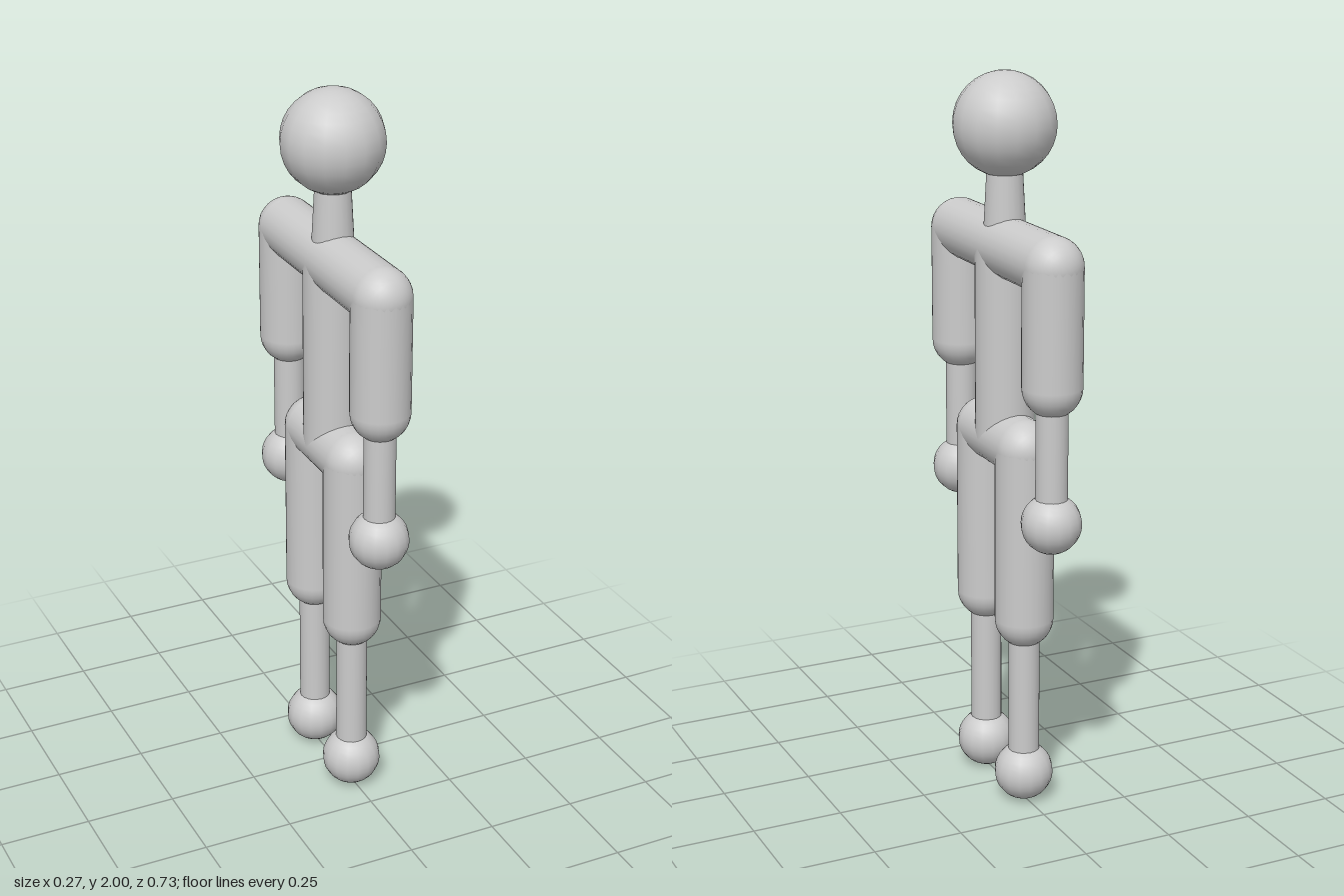
import * as THREE from 'three';

const material = new THREE.MeshStandardMaterial({ color: 0xcccccc });
const LIMB = 0.08, THIN = 0.043;

export function createModel() {
  const group = new THREE.Group();

  const add = (name, geometry, y, z = 0) => {
    const mesh = new THREE.Mesh(geometry, material);
    mesh.name = name;
    mesh.position.set(0, y, z);
    group.add(mesh);
    return mesh;
  };
  // Round-ended upright limb between two joint heights
  const limb = (name, top, bottom, z = 0) =>
    add(name, new THREE.CapsuleGeometry(LIMB, top - bottom, 8, 24), (top + bottom) / 2, z);
  // Round-ended bar running across the body along z
  const bar = (name, y, halfWidth) => {
    const mesh = add(name, new THREE.CapsuleGeometry(LIMB, halfWidth * 2, 8, 24), y);
    mesh.rotation.x = Math.PI / 2;
  };
  const rod = (name, top, bottom, rTop, rBottom, z = 0) =>
    add(name, new THREE.CylinderGeometry(rTop, rBottom, top - bottom, 20), (top + bottom) / 2, z);
  const ball = (name, radius, y, z = 0) => {
    const mesh = add(name, new THREE.SphereGeometry(radius, 16, 16), y, z);
    mesh.rotation.y = Math.PI / 16;
    return mesh;
  };

  // Head, neck and trunk
  ball('head', 0.138, 1.862);
  rod('neck', 1.78, 1.54, 0.046, 0.059);
  bar('shoulders', 1.54, 0.283);
  limb('torso', 1.54, 1.015);
  bar('hips', 1.015, 0.122);

  // Mirrored arms and legs
  for (const [side, s] of [['front', 1], ['back', -1]]) {
    const arm = 0.283 * s, leg = 0.122 * s;
    limb(side + 'UpperArm', 1.54, 1.225, arm);
    rod(side + 'Forearm', 1.2, 0.86, THIN, THIN, arm);
    ball(side + 'Hand', 0.081, 0.855, arm);
    limb(side + 'Thigh', 1.015, 0.535, leg);
    rod(side + 'Shin', 0.5, 0.085, THIN, THIN, leg);
    ball(side + 'Foot', 0.081, 0.081, leg);
  }
  return group;
}
